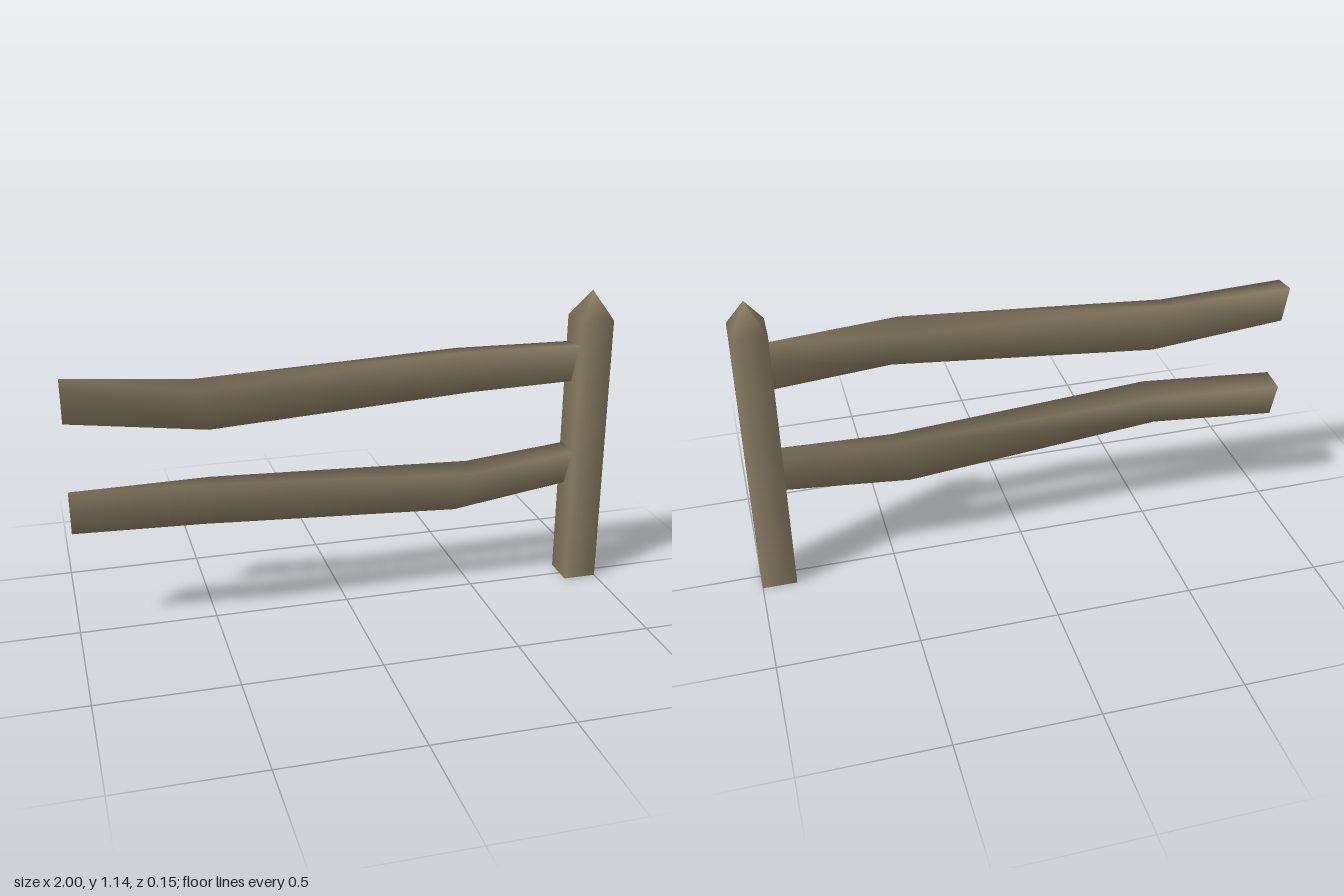
import * as THREE from 'three';

// Triangular cross-sections along the rail: [front top, back top, bottom edge], each [x, y, z]
const SECTIONS = [
  [[-1, 0.94, 0.035], [-1, 0.95, -0.057], [-1, 0.798, -0.02]],
  [[-0.55, 0.905, 0.067], [-0.55, 0.922, -0.022], [-0.5, 0.738, 0.0]],
  [[0.42, 0.97, 0.073], [0.42, 0.955, -0.036], [0.46, 0.805, 0.035]],
  [[0.92, 0.95, 0.04], [0.92, 0.94, -0.057], [0.92, 0.797, -0.015]],
];

// Skins the cross-sections into a smooth, open-ended split rail
function railGeometry(sections) {
  const index = [];
  for (let i = 0; i < sections.length - 1; i++) {
    for (let j = 0; j < 3; j++) {
      const k = (j + 1) % 3;
      const a = i * 3 + j, b = i * 3 + k, c = b + 3, d = a + 3;
      index.push(a, d, b, b, d, c);
    }
  }
  const geometry = new THREE.BufferGeometry();
  geometry.setAttribute('position', new THREE.Float32BufferAttribute(sections.flat(2), 3));
  geometry.setIndex(index);
  geometry.computeVertexNormals();
  return geometry;
}

export function createModel() {
  const model = new THREE.Group();
  model.name = 'fenceSection';
  const wood = new THREE.MeshStandardMaterial({ color: 0x877b62, side: THREE.DoubleSide });
  wood.name = 'weatheredWood';

  const add = (name, geometry, parent = model) => {
    const mesh = new THREE.Mesh(geometry, wood);
    mesh.name = name;
    parent.add(mesh);
    return mesh;
  };

  // Square post with a pointed top and a flat foot
  const post = new THREE.Group();
  post.name = 'post';
  post.position.set(0.9375, 0, -0.01);
  model.add(post);
  const radius = 0.0625 * Math.SQRT2;
  const profile = [[radius, 0], [radius, 1.04], [0, 1.145]].map(([x, y]) => new THREE.Vector2(x, y));
  add('postBody', new THREE.LatheGeometry(profile, 4, Math.PI / 4), post);
  add('postFoot', new THREE.PlaneGeometry(0.125, 0.125).rotateX(Math.PI / 2), post);

  // Upper rail, and the lower rail as its lengthwise mirror
  add('upperRail', railGeometry(SECTIONS));
  const mirrored = SECTIONS.map((s) => s.map(([x, y, z]) => [-0.08 - x, y - 0.41, z])).reverse();
  add('lowerRail', railGeometry(mirrored));

  return model;
}
